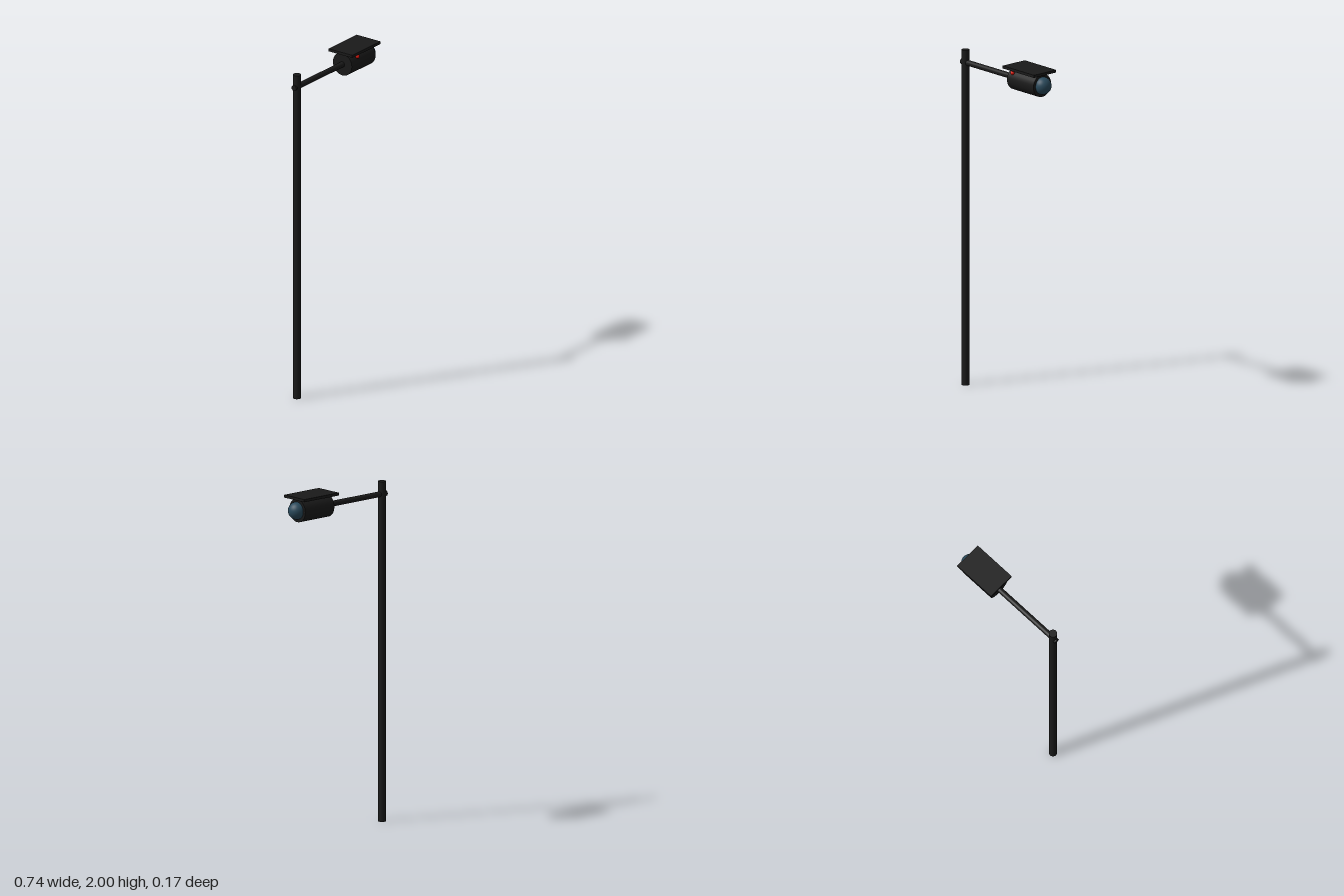
import * as THREE from 'three';

const paint = (color) => new THREE.MeshStandardMaterial({ color });

export function createModel() {
  const model = new THREE.Group();
  const dark = paint(0x1a1a1a);
  const glass = paint(0x2a4a5c);
  const red = paint(0xdd1100);
  const axisY = 1.918;

  const add = (name, geometry, material, x, y, z = 0) => {
    const mesh = new THREE.Mesh(geometry, material);
    mesh.name = name;
    mesh.position.set(x, y, z);
    model.add(mesh);
    return mesh;
  };

  // Cylinder lying along x, from x0 to x1
  const barrel = (name, radius, x0, x1) =>
    add(name, new THREE.CylinderGeometry(radius, radius, x1 - x0, 32).rotateZ(-Math.PI / 2), dark, (x0 + x1) / 2, axisY);

  // Upright pole
  add('pole', new THREE.CylinderGeometry(0.0235, 0.0235, 1.993, 32), dark, -0.34, 0.9965);

  // Arm passing through the pole into the camera housing
  barrel('arm', 0.0165, -0.37, 0.12);
  barrel('cameraHousing', 0.068, 0.09, 0.315);

  // Domed lens on the end of the housing
  add('lens', new THREE.SphereGeometry(0.051, 32, 24), glass, 0.319, axisY);

  // Flat weather hood
  add('hood', new THREE.BoxGeometry(0.268, 0.016, 0.17), dark, 0.205, 1.992);

  // Status light under the hood's front edge
  add('statusLight', new THREE.SphereGeometry(0.0125, 16, 12), red, 0.14, 1.969, 0.071);

  return model;
}
